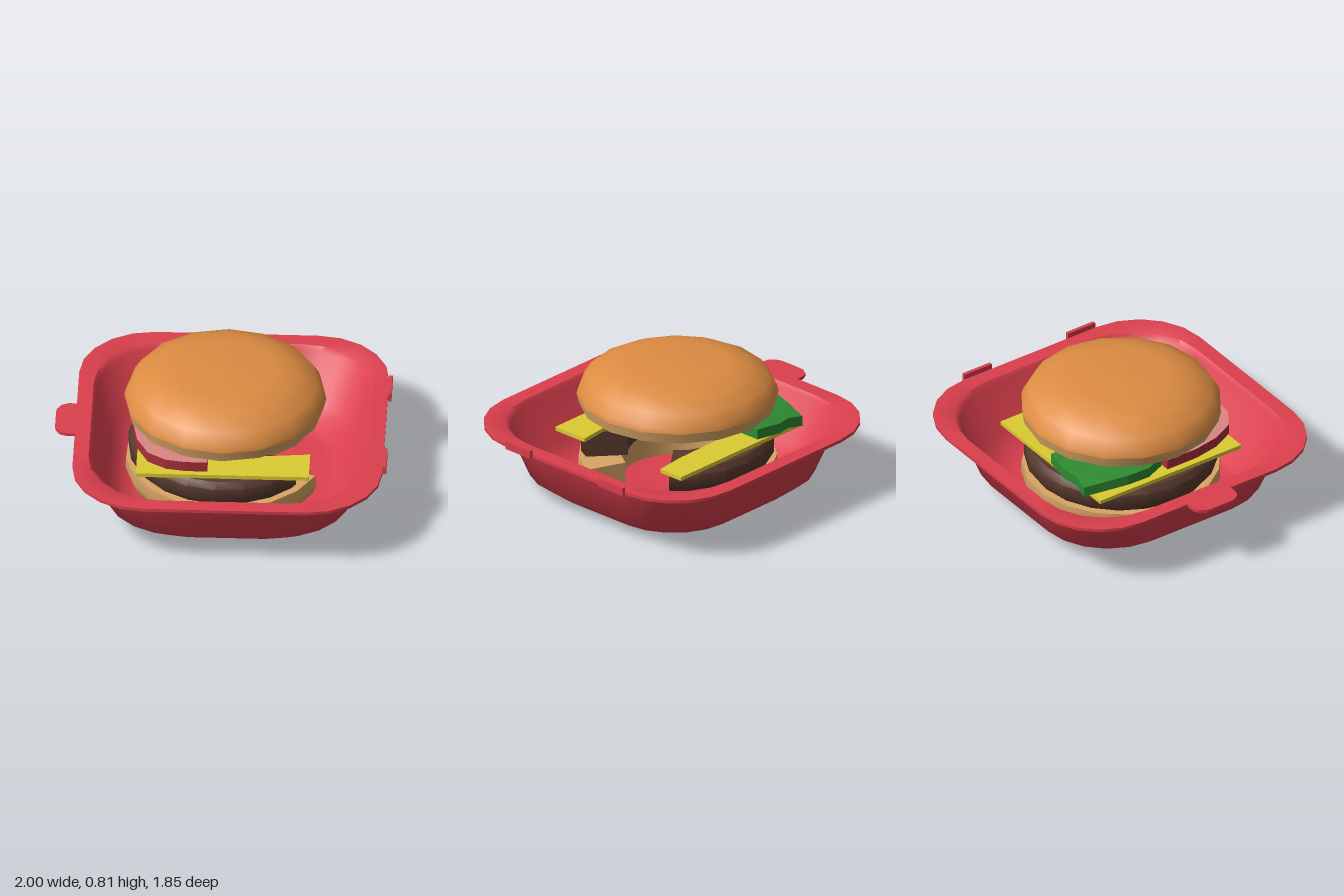
import * as THREE from 'three';
import { toCreasedNormals } from 'three/addons/utils/BufferGeometryUtils.js';

const rad = THREE.MathUtils.degToRad;
const mat = (color, side = THREE.FrontSide) => new THREE.MeshStandardMaterial({ color, side });
const RED = 0xdb3f4d, CRUST = 0xdd8c42, CRUMB = 0xd8a565, MEAT = 0x58392c;
const BURGER = [0.015, -0.015]; // burger centre in x, z

function add(parent, name, geometry, material, x = 0, y = 0, z = 0) {
  const mesh = new THREE.Mesh(geometry, material);
  mesh.name = name;
  mesh.position.set(x, y, z);
  parent.add(mesh);
  return mesh;
}

// one rounded-square section: half width, corner radius, height
function squareLoop(half, r, y) {
  const pts = [];
  for (let c = 0; c < 4; c++) {
    for (let i = 0; i <= 5; i++) {
      const a = (c + i / 5) * Math.PI / 2;
      const sx = c === 0 || c === 3 ? 1 : -1, sz = c < 2 ? 1 : -1;
      pts.push([sx * (half - r) + r * Math.cos(a), y, sz * (half - r) + r * Math.sin(a)]);
    }
  }
  return pts;
}

// skin through a list of sections
function loft(loops) {
  const n = loops[0].length, index = [];
  for (let j = 0; j < loops.length - 1; j++) {
    for (let i = 0; i < n; i++) {
      const a = j * n + i, b = j * n + (i + 1) % n;
      index.push(a, a + n, b, b, a + n, b + n);
    }
  }
  const g = new THREE.BufferGeometry();
  g.setAttribute('position', new THREE.Float32BufferAttribute(loops.flat(2), 3));
  g.setIndex(index);
  return toCreasedNormals(g, 0.75);
}

// flat slab from an outline of [x, z] points
function slab(points, y0, y1) {
  const shape = new THREE.Shape(points.map(([x, z]) => new THREE.Vector2(x, -z)));
  const g = new THREE.ExtrudeGeometry(shape, { depth: y1 - y0, bevelEnabled: false });
  return g.rotateX(-Math.PI / 2).translate(0, y0, 0);
}

// part of a hollow ring with closed ends; angles run from +z towards +x
function ringSector(parent, name, profile, from, to, color) {
  const pts = profile.map(p => new THREE.Vector2(...p));
  const group = new THREE.Group();
  group.name = name;
  group.position.set(BURGER[0], 0, BURGER[1]);
  const m = mat(color, THREE.DoubleSide);
  const body = new THREE.LatheGeometry([...pts, pts[0]], 16, rad(from), rad(to - from));
  add(group, name + 'Body', toCreasedNormals(body, 0.7), m);
  for (const angle of [from, to]) {
    const end = new THREE.ShapeGeometry(new THREE.Shape(pts)).rotateY(rad(angle - 90));
    add(group, name + 'CutEnd', end, m);
  }
  parent.add(group);
}

export function createModel() {
  const model = new THREE.Group();
  model.name = 'burgerInTray';

  // tray: outside from the floor up, over the rim, down the inside
  const tray = new THREE.Group();
  tray.name = 'tray';
  model.add(tray);
  const sections = [
    [0.001, 0.0005, 0], [0.56, 0.36, 0.0], [0.63, 0.4, 0.02], [0.735, 0.44, 0.105],
    [0.82, 0.46, 0.36], [0.832, 0.46, 0.39], [0.855, 0.44, 0.405], [0.927, 0.44, 0.405],
    [0.927, 0.44, 0.425], [0.835, 0.44, 0.425], [0.815, 0.45, 0.4], [0.72, 0.43, 0.115],
    [0.62, 0.39, 0.035], [0.55, 0.35, 0.018], [0.001, 0.0005, 0.018],
  ];
  add(tray, 'trayShell', loft(sections.map(s => squareLoop(...s))), mat(RED), 0.048);

  // rounded latch tab on the right edge
  const tab = [[-0.86, -0.16], [-0.93, -0.16], [-0.97, -0.14], [-0.995, -0.1], [-1, -0.07],
    [-1, 0.07], [-0.995, 0.1], [-0.97, 0.14], [-0.93, 0.155], [-0.86, 0.155]];
  add(tray, 'latchTab', slab(tab.reverse(), 0.405, 0.425), mat(RED));

  // hinge plates on the left edge
  for (const z of [-0.383, 0.375]) {
    add(tray, 'hingePlate', new THREE.BoxGeometry(0.022, 0.05, 0.2), mat(RED), 0.987, 0.432, z);
  }

  // burger, lower layers with a piece missing on the left
  const burger = new THREE.Group();
  burger.name = 'burger';
  model.add(burger);
  ringSector(burger, 'bottomBun',
    [[0.34, 0.03], [0.52, 0.03], [0.58, 0.07], [0.6, 0.13], [0.595, 0.2], [0.34, 0.2]],
    128, 427, CRUMB);
  ringSector(burger, 'patty',
    [[0.3, 0.2], [0.55, 0.2], [0.58, 0.24], [0.58, 0.32], [0.55, 0.358], [0.3, 0.358]],
    128, 409, MEAT);

  // square cheese slice, open in the middle
  const cheese = [[0.535, 0.5], [0.535, 0.26], [0.35, 0.28], [-0.12, 0.33], [-0.3, 0.15],
    [-0.3, -0.15], [-0.12, -0.33], [0.35, -0.34], [0.535, -0.36], [0.535, -0.53],
    [-0.5, -0.53], [-0.5, 0.5]];
  add(burger, 'cheese', slab(cheese, 0.36, 0.385), mat(0xdccb33));

  // tomato quarter with a pale face and a red skin
  const tomato = [[-0.07, -0.06], [-0.53, -0.06], [-0.53, 0.15], [-0.5, 0.32], [-0.43, 0.46],
    [-0.32, 0.53], [-0.2, 0.55], [-0.07, 0.55]];
  add(burger, 'tomato', slab(tomato, 0.445, 0.51), [mat(0xdc8583), mat(0xa82f3a)]);

  // lettuce quarter with a wavy, drooping edge
  const lettuce = [[-0.07, -0.07], [-0.07, -0.59], [-0.15, -0.6], [-0.24, -0.61],
    [-0.34, -0.59], [-0.44, -0.61], [-0.49, -0.45], [-0.52, -0.34], [-0.535, -0.2], [-0.48, -0.07]];
  const leaf = slab(lettuce, 0.447, 0.512);
  const p = leaf.attributes.position;
  for (let i = 0; i < p.count; i++) {
    const out = Math.hypot(p.getX(i), p.getZ(i));
    p.setY(i, p.getY(i) - Math.max(0, out - 0.58) * 0.2);
  }
  leaf.computeVertexNormals();
  add(burger, 'lettuce', leaf, mat(0x2f8a32));

  // top bun: pale underside and band, browned dome
  const lathe = pts => new THREE.LatheGeometry(pts.map(q => new THREE.Vector2(...q)), 16);
  add(burger, 'topBunUnderside', lathe([[0, 0.54], [0.59, 0.54]]), mat(CRUMB), BURGER[0], 0, BURGER[1]);
  add(burger, 'topBunBand', lathe([[0.59, 0.54], [0.605, 0.605]]), mat(CRUMB), BURGER[0], 0, BURGER[1]);
  add(burger, 'topBunDome',
    lathe([[0.605, 0.605], [0.595, 0.64], [0.55, 0.71], [0.435, 0.77], [0.305, 0.803], [0, 0.808]]),
    mat(CRUST), BURGER[0], 0, BURGER[1]);

  return model;
}
